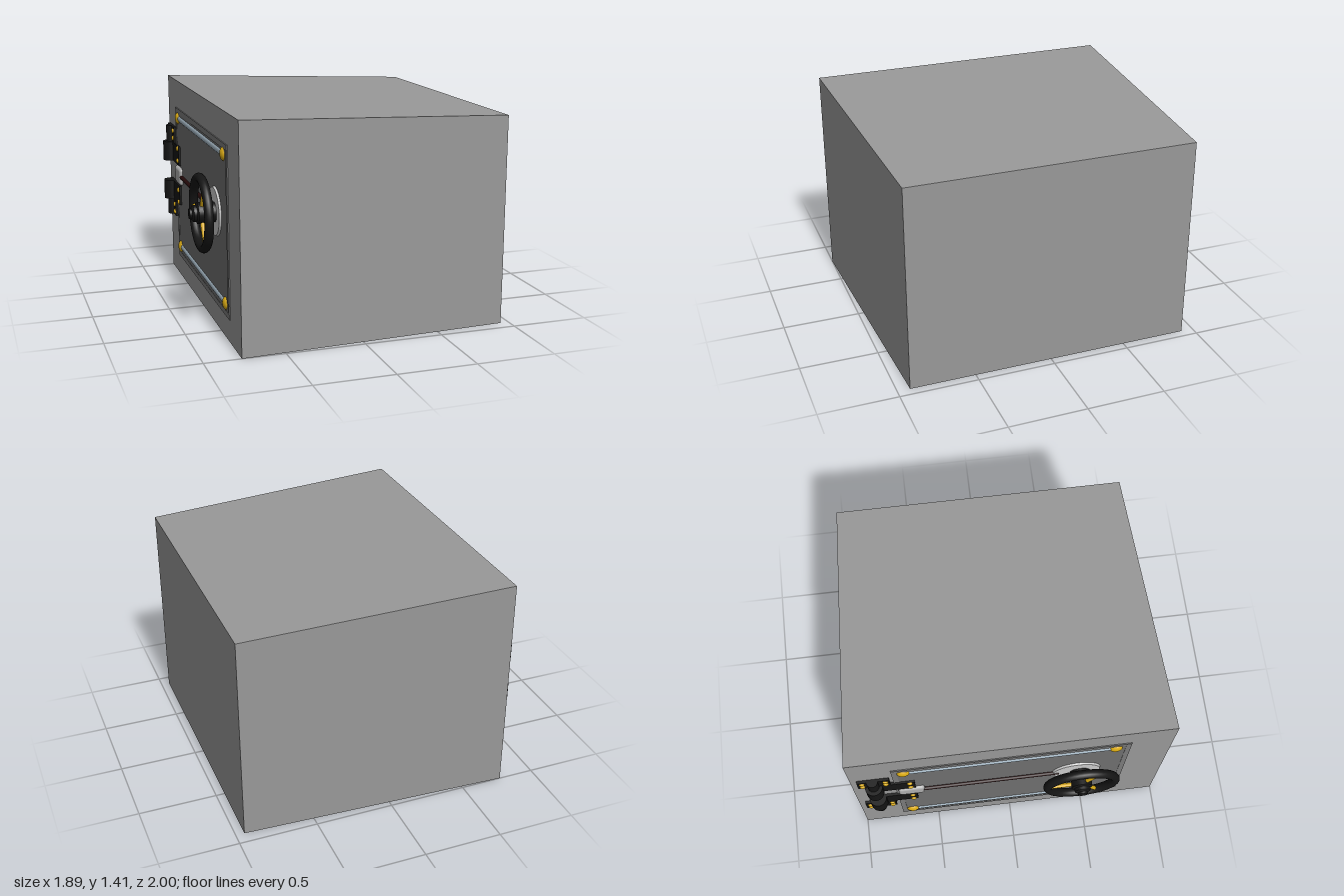
import * as THREE from 'three';
import { RoundedBoxGeometry } from 'three/addons/geometries/RoundedBoxGeometry.js';

const mat = (color) => new THREE.MeshStandardMaterial({ color });
const bodyGrey = mat(0x999999), panelGrey = mat(0x6f6f6f), frameGrey = mat(0x7b7b7b);
const silver = mat(0xcccccc), latchGrey = mat(0xb0b0b0), black = mat(0x151515);
const gold = mat(0xd9aa14), steel = mat(0xa3b5c2), maroon = mat(0x260b0b);

const FACE = -0.77; // x of the door side; parts are placed by distance d outwards from it
const MID = 0.75;   // height of the door's centre line

function add(parent, name, geo, material, d, y, z) {
  const mesh = new THREE.Mesh(geo, material);
  mesh.name = name;
  mesh.position.set(FACE - d, y, z);
  parent.add(mesh);
  return mesh;
}

// Lathe around the outward axis; points are [radius, distance outwards]
function turned(points) {
  return new THREE.LatheGeometry(points.map(([r, d]) => new THREE.Vector2(r, d)), 32).rotateZ(Math.PI / 2);
}

function rectShape(w, h, ShapeType) {
  const s = new ShapeType();
  s.moveTo(-w / 2, -h / 2).lineTo(w / 2, -h / 2).lineTo(w / 2, h / 2).lineTo(-w / 2, h / 2).closePath();
  return s;
}

function createBody() {
  // Box narrowing towards +x, with a sloping roof
  const geo = new THREE.BoxGeometry(1.715, 1.408, 2).translate(0.0875, 0.704, 0);
  const p = geo.attributes.position;
  for (let i = 0; i < p.count; i++) {
    if (p.getX(i) < 0) continue;
    p.setZ(i, p.getZ(i) * 0.92);
    if (p.getY(i) > 0.5) p.setY(i, 1.335);
  }
  geo.computeVertexNormals();
  const body = new THREE.Mesh(geo, bodyGrey);
  body.name = 'safeBody';
  return body;
}

function createDoor() {
  const door = new THREE.Group();
  door.name = 'door';
  add(door, 'doorPanel', new THREE.BoxGeometry(0.01, 1.0, 1.42), panelGrey, 0, 0.683, 0);

  // Raised rim around the panel
  const rim = rectShape(1.476, 1.07, THREE.Shape);
  rim.holes.push(rectShape(1.41, 1.0, THREE.Path));
  const rimGeo = new THREE.ExtrudeGeometry(rim, { depth: 0.009, bevelEnabled: false }).rotateY(-Math.PI / 2);
  add(door, 'doorFrame', rimGeo, frameGrey, -0.002, 0.683, 0);

  // Two flattened bars, each with a domed knob at both ends
  for (const y of [0.227, 1.15]) {
    const bar = add(door, 'bar', new THREE.CylinderGeometry(0.02, 0.02, 1.3, 16).rotateX(Math.PI / 2), steel, 0.002, y, -0.01);
    bar.scale.x = 0.6;
    for (const z of [-0.665, 0.645]) {
      const knob = add(door, 'barKnob', new THREE.SphereGeometry(0.042, 24, 16), gold, 0, y, z);
      knob.scale.x = 0.6;
    }
  }

  // Locking rod running from the latch to the wheel
  add(door, 'lockingRod', new THREE.CylinderGeometry(0.014, 0.014, 0.92, 16).rotateX(Math.PI / 2), maroon, 0.01, MID, -0.15);
  add(door, 'latch', new RoundedBoxGeometry(0.044, 0.12, 0.17, 4, 0.021), latchGrey, 0.004, MID, -0.64);
  return door;
}

function createHinge(side) {
  const hinge = new THREE.Group();
  hinge.name = side > 0 ? 'upperHinge' : 'lowerHinge';
  const yOf = (offset) => MID + side * offset;
  const axisZ = -0.865;

  // Leaf on the body and leaf on the door
  add(hinge, 'bodyLeaf', new THREE.BoxGeometry(0.02, 0.12, 0.2), black, 0.008, yOf(0.262), -0.86);
  add(hinge, 'doorLeaf', new THREE.BoxGeometry(0.02, 0.135, 0.26), black, 0.008, yOf(0.14), -0.74);
  // Knuckles around the pin
  add(hinge, 'wideKnuckle', new THREE.CylinderGeometry(0.055, 0.055, 0.135, 24), black, 0.02, yOf(0.14), axisZ);
  add(hinge, 'narrowKnuckle', new THREE.CylinderGeometry(0.036, 0.036, 0.12, 24), black, 0.015, yOf(0.262), axisZ);

  const screws = [[0.293, -0.93], [0.24, -0.93], [0.293, -0.785], [0.24, -0.785], [0.19, -0.64], [0.105, -0.64]];
  for (const [offset, z] of screws) {
    const screw = add(hinge, 'hingeScrew', new THREE.SphereGeometry(0.018, 12, 8), gold, 0.018, yOf(offset), z);
    screw.scale.x = 0.7;
  }
  return hinge;
}

function createWheel() {
  const wheel = new THREE.Group();
  wheel.name = 'handWheel';
  const z = 0.445, rimD = 0.1, rimRadius = 0.218;
  const backing = new THREE.CylinderGeometry(0.15, 0.158, 0.018, 40).rotateZ(Math.PI / 2);
  add(wheel, 'backingDisc', backing, silver, 0.009, MID, 0.425);

  // Stepped hub; doubled points keep the steps crisp
  const hub = [
    [0.063, 0.015], [0.063, 0.06], [0.063, 0.06], [0.067, 0.062], [0.067, 0.062], [0.067, 0.125],
    [0.067, 0.125], [0.052, 0.133], [0.052, 0.133], [0.05, 0.152], [0.05, 0.152], [0.034, 0.162],
    [0.034, 0.162], [0.032, 0.175], [0.032, 0.175], [0, 0.177],
  ];
  add(wheel, 'hub', turned(hub), black, 0, MID, z);

  const rim = new THREE.TorusGeometry(rimRadius, 0.029, 16, 48).rotateY(Math.PI / 2);
  add(wheel, 'wheelRim', rim, black, rimD, MID, z);

  // Three spokes, measured from +z
  for (const angle of [Math.PI / 3, Math.PI, -Math.PI / 3]) {
    const spoke = new THREE.CylinderGeometry(0.014, 0.014, rimRadius, 12).translate(0, rimRadius / 2, 0);
    const mesh = add(wheel, 'spoke', spoke, gold, rimD, MID, z);
    mesh.rotation.x = Math.PI / 2 - angle;
  }
  return wheel;
}

export function createModel() {
  const model = new THREE.Group();
  model.name = 'safe';
  model.add(createBody(), createDoor(), createHinge(1), createHinge(-1), createWheel());
  return model;
}
